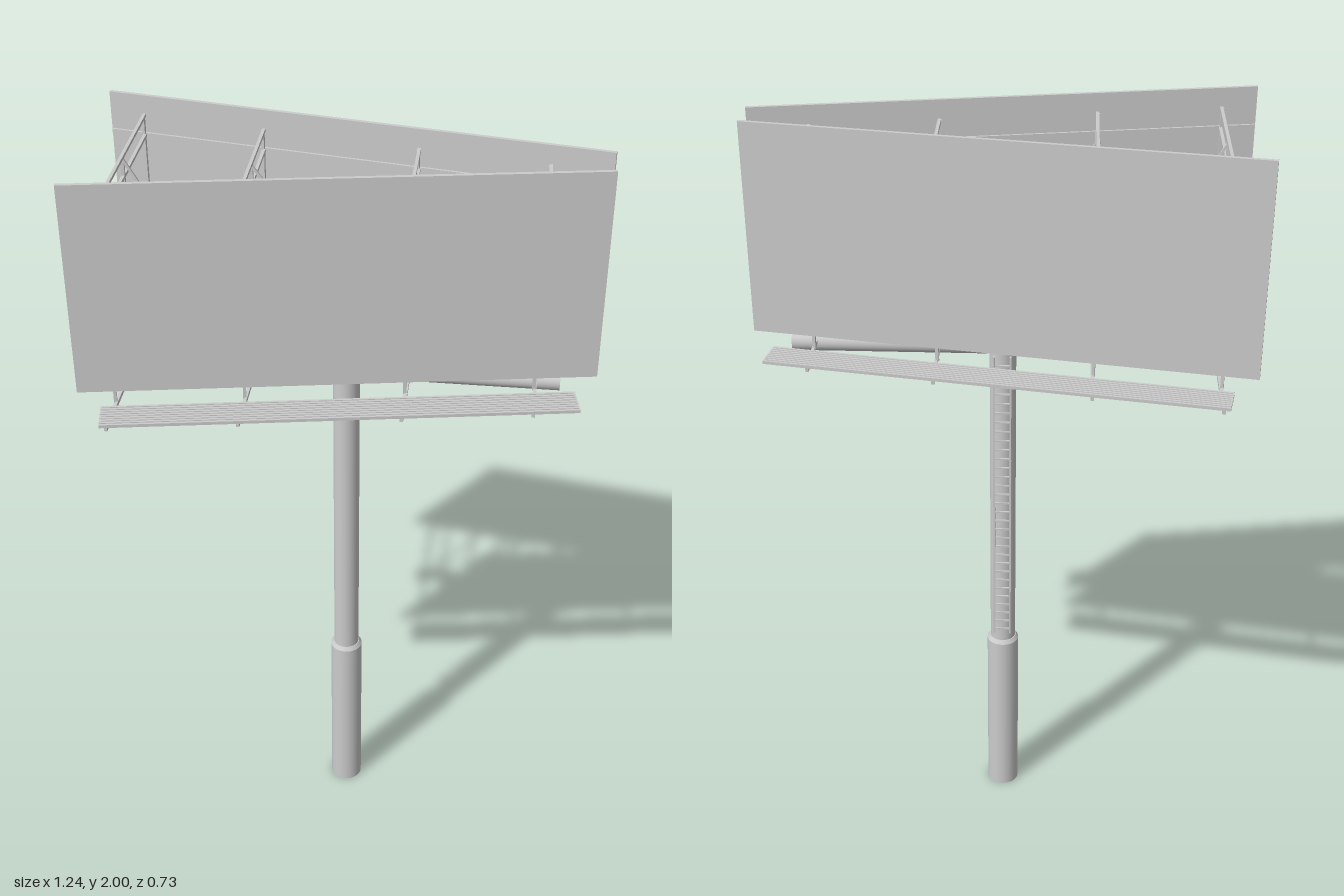
import * as THREE from 'three';

const material = new THREE.MeshStandardMaterial({ color: 0xcccccc });
const ANGLE = 0.175; // each face is turned by this, so the pair forms a V
const STATIONS = [-0.533, -0.225, 0.16, 0.473]; // x of the support frames
const panelZ = (x) => 0.16 - Math.tan(ANGLE) * x;

function add(parent, name, geometry, x = 0, y = 0, z = 0) {
  const mesh = new THREE.Mesh(geometry, material);
  mesh.name = name;
  mesh.position.set(x, y, z);
  parent.add(mesh);
  return mesh;
}

function box(parent, name, w, h, d, x, y, z) {
  return add(parent, name, new THREE.BoxGeometry(w, h, d), x, y, z);
}

// Square bar between two points
function bar(parent, name, a, b, size) {
  const from = new THREE.Vector3(...a);
  const to = new THREE.Vector3(...b);
  const mesh = box(parent, name, size, from.distanceTo(to), size, 0, 0, 0);
  mesh.position.copy(from).lerp(to, 0.5);
  mesh.quaternion.setFromUnitVectors(new THREE.Vector3(0, 1, 0), to.sub(from).normalize());
  return mesh;
}

// Column, sleeve at its foot, and the horizontal pipe on top
function addColumn(root) {
  add(root, 'columnBase', new THREE.CylinderGeometry(0.043, 0.043, 0.5, 32), 0, 0.25, 0);
  add(root, 'columnCollar', new THREE.CylinderGeometry(0.036, 0.043, 0.01, 32), 0, 0.505, 0);
  add(root, 'column', new THREE.CylinderGeometry(0.034, 0.034, 0.94, 32), 0, 0.97, 0);
  const pipe = add(root, 'mainPipe', new THREE.CylinderGeometry(0.025, 0.025, 1.085, 32), -0.008, 1.409, 0);
  pipe.rotation.z = Math.PI / 2;
}

// Ladder on the back of the column
function addLadder(root) {
  const ladder = new THREE.Group();
  ladder.name = 'ladder';
  root.add(ladder);
  for (const x of [-0.021, 0.021]) {
    box(ladder, 'ladderRail', 0.005, 0.85, 0.006, x, 0.97, -0.048);
    for (const y of [0.58, 0.82, 1.08, 1.385]) {
      box(ladder, 'ladderBracket', 0.004, 0.006, 0.026, x, y, -0.035);
    }
  }
  for (let i = 0; i < 31; i++) {
    box(ladder, 'ladderRung', 0.042, 0.004, 0.004, 0, 0.56 + i * 0.027, -0.048);
  }
}

// Cross frames joining both faces, with a braced centre line
function addFrames(root) {
  const frames = new THREE.Group();
  frames.name = 'supportFrames';
  root.add(frames);
  STATIONS.forEach((x, i) => {
    box(frames, 'crossBeam', 0.008, 0.01, 2 * (panelZ(x) + 0.105), x, 1.416, 0);
    box(frames, 'centrePost', 0.008, 0.54, 0.008, x, 1.684, 0);
    for (const y of [1.95, 1.9, 1.725, 1.535]) {
      box(frames, 'crossBar', 0.008, 0.008, 2 * (panelZ(x) - 0.008), x, y, 0);
    }
    if (i === 0) return;
    const p = STATIONS[i - 1];
    bar(frames, 'diagonalBrace', [p, 1.425, 0], [x, 1.945, 0], 0.006);
    bar(frames, 'diagonalBrace', [p, 1.945, 0], [x, 1.425, 0], 0.006);
  });
}

// One face with its stringers, posts and walkway; s is +1 front, -1 back
function addSide(root, s) {
  const side = new THREE.Group();
  side.name = s > 0 ? 'frontSide' : 'backSide';
  side.position.z = s * 0.16;
  side.rotation.y = s * ANGLE;
  root.add(side);

  box(side, 'panel', 1.26, 0.54, 0.01, 0, 1.73, 0);
  for (const y of [1.9, 1.725, 1.535]) {
    box(side, 'stringer', 1.255, 0.01, 0.007, 0, y, -s * 0.008);
  }
  for (const x of STATIONS) {
    box(side, 'panelPost', 0.008, 0.535, 0.008, x / Math.cos(ANGLE), 1.684, -s * 0.014);
  }

  // Slatted walkway in front of the panel
  const walkway = new THREE.Group();
  walkway.name = 'walkway';
  walkway.position.set(0, 1.426, s * 0.064);
  side.add(walkway);
  for (let i = 0; i < 9; i++) {
    box(walkway, 'walkwaySlat', 1.15, 0.008, 0.0065, 0, 0, (i - 4) * 0.0098);
  }
  for (const x of [-0.573, 0.573]) {
    box(walkway, 'walkwayEnd', 0.004, 0.007, 0.084, x, 0, 0);
  }
}

export function createModel() {
  const root = new THREE.Group();
  root.name = 'billboard';
  addColumn(root);
  addLadder(root);
  addFrames(root);
  addSide(root, 1);
  addSide(root, -1);
  return root;
}
